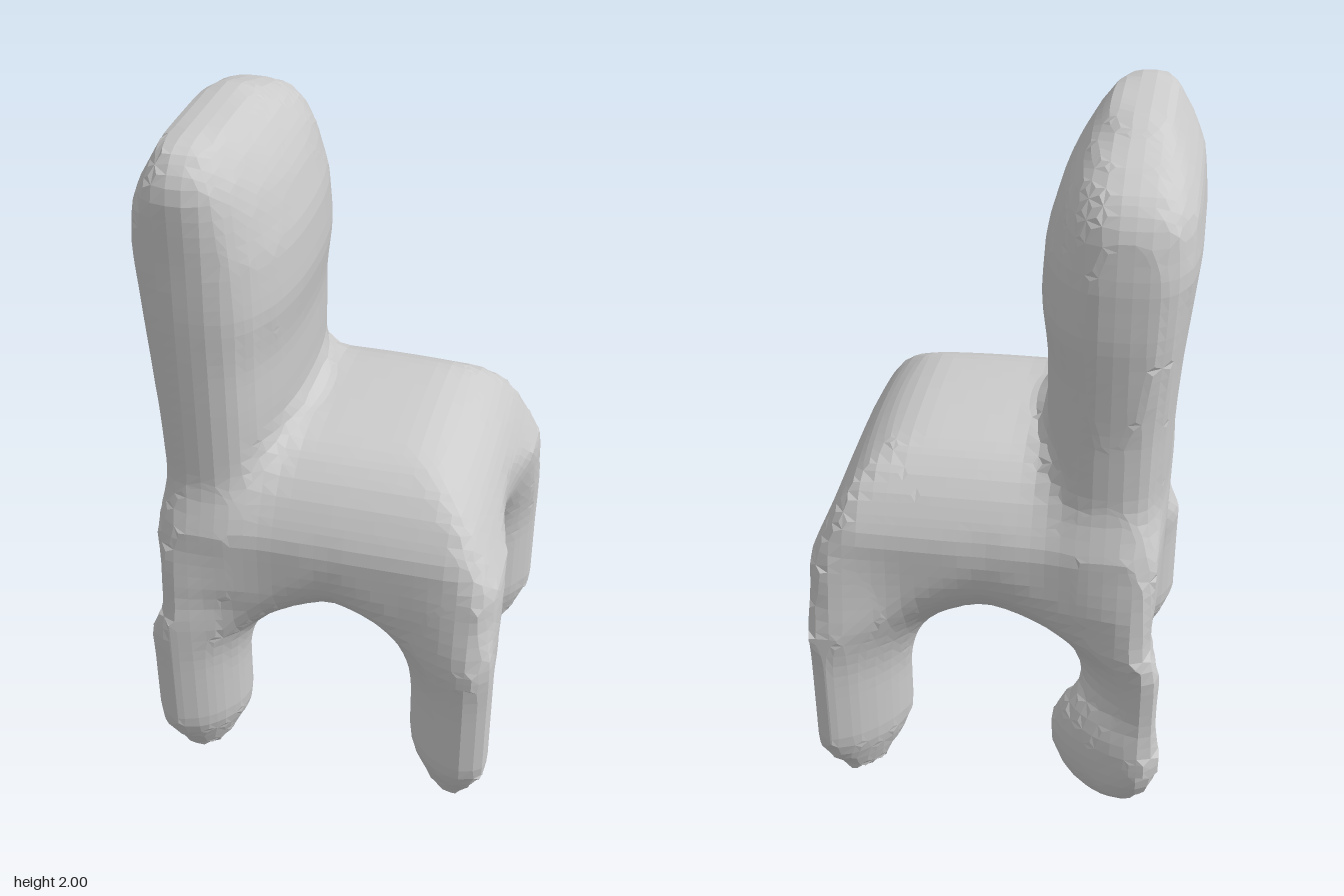
import * as THREE from 'three';

const { clamp, smoothstep, lerp } = THREE.MathUtils;

// Smooth union of two distances, with a fillet of size k
const blend = (a, b, k) => Math.min(a, b) - Math.max(k - Math.abs(a - b), 0) ** 2 / (4 * k);

// Distance to an ellipsoid; a radius of Infinity makes it a column
function ellipsoid(p, r) {
  const k0 = Math.hypot(...p.map((v, i) => v / r[i]));
  const k1 = Math.hypot(...p.map((v, i) => v / (r[i] * r[i])));
  return k0 * (k0 - 1) / Math.max(k1, 1e-6);
}

// Thick cushion: a slightly crowned square with well rounded upper and lower edges
function seat(x, y, z) {
  const corner = 0.08, edge = 0.25;
  const qx = Math.abs(x) - 0.458 + corner, qz = Math.abs(z) - 0.447 + corner;
  const plan = Math.hypot(Math.max(qx, 0), Math.max(qz, 0)) + Math.min(Math.max(qx, qz), 0) - corner;
  const crown = y > 0.87 ? 0.25 * z * z + 0.1 * x * x : 0;
  const wx = plan + edge, wy = Math.abs(y - 0.87) + crown - 0.27 + edge;
  return Math.hypot(Math.max(wx, 0), Math.max(wy, 0)) + Math.min(Math.max(wx, wy), 0) - edge;
}

// Backrest outline by height: y, x from, x to, z from, z to
const backRings = [
  [0.60, -0.445, -0.15, -0.42, 0.42],
  [1.00, -0.47, -0.13, -0.42, 0.42],
  [1.25, -0.48, -0.12, -0.42, 0.42],
  [1.40, -0.49, -0.12, -0.43, 0.42],
  [1.55, -0.505, -0.10, -0.44, 0.42],
  [1.70, -0.52, -0.11, -0.435, 0.415],
  [1.84, -0.505, -0.15, -0.415, 0.415],
  [1.91, -0.465, -0.19, -0.35, 0.415],
  [1.96, -0.435, -0.225, -0.23, 0.385],
  [1.985, -0.42, -0.25, -0.12, 0.355],
  [2.00, -0.38, -0.29, -0.04, 0.33],
];

// Tall backrest on the -x side: squarer behind, rounder in front, its top sloping towards -z
function backrest(x, y, z) {
  let j = 1;
  while (j < backRings.length - 1 && backRings[j][0] < y) j++;
  const lo = backRings[j - 1], hi = backRings[j];
  const t = clamp((y - lo[0]) / (hi[0] - lo[0]), 0, 1);
  const [, x0, x1, z0, z1] = lo.map((v, i) => lerp(v, hi[i], t));
  const rx = (x1 - x0) / 2, rz = (z1 - z0) / 2;
  const u = (x - (x0 + x1) / 2) / rx, v = Math.abs(z - (z0 + z1) / 2) / rz;
  const n = u > 0 ? 2.4 : 4;
  const side = (Math.pow(Math.abs(u) ** n + v ** n, 1 / n) - 1) * rx;
  return Math.max(side, y - 2, 0.72 - y);
}

// Legs by corner: signs of x and z, middle, radius along and across the diagonal
const legs = [
  { sx: 1, sz: 1, cx: 0.388, cz: 0.365, along: 0.155, across: 0.1 },
  { sx: 1, sz: -1, cx: 0.385, cz: 0.372, along: 0.168, across: 0.075 },
  { sx: -1, sz: 1, cx: 0.37, cz: 0.37, along: 0.155, across: 0.1 },
  { sx: -1, sz: -1, cx: 0.375, cz: 0.375, along: 0.15, across: 0.06 },
];

// Leg that is oblong along the diagonal, with a pointed foot and a top leaning into the seat
function leg(x, y, z, { sx, sz, cx, cz, along, across }) {
  const lean = 0.09 * smoothstep(y, 0.56, 0.8);
  const inset = sx < 0 ? 0.04 * smoothstep(y, 0.48, 0.64) : 0;
  const px = x * sx - cx + lean + inset, pz = z * sz - cz + lean;
  const u = (px + pz) * Math.SQRT1_2, v = (px - pz) * Math.SQRT1_2;
  const shaft = ellipsoid([u, v], [along, across]);
  const foot = (Math.hypot(u / along, v / across) - 0.4 - 3.8 * y) * 0.1;
  return Math.max(shaft, foot, -y, y - 0.72);
}

// Swollen foot of the one thinner leg
function bulb(x, y, z) {
  const c = Math.cos(0.54), s = Math.sin(0.54);
  const px = x + 0.335, pz = z + 0.375;
  return ellipsoid([px * c + pz * s, y - 0.19, pz * c - px * s], [0.184, 0.19, 0.098]);
}

// Outer faces of seat and legs, nearly flat between slightly projecting corners
function walls(x, y, z) {
  const low = clamp((0.86 - y) / 0.26, 0, 1);
  const zMax = 0.449 + 0.052 * smoothstep(Math.abs(x), 0.22, 0.43) * low;
  const xMax = 0.462 + 0.048 * smoothstep(Math.abs(z), 0.04, 0.28);
  const xMin = 0.505 - 0.05 * smoothstep(y, 0.48, 0.62);
  return Math.max(Math.abs(z) - zMax, x - xMax, -x - xMin);
}

function chairDistance(x, y, z) {
  // only the nearest leg matters in each quarter
  let limb = leg(x, y, z, legs[(x < 0 ? 2 : 0) + (z < 0 ? 1 : 0)]);
  if (x < 0 && z < 0) limb = blend(limb, bulb(x, y, z), 0.04);
  const base = Math.max(blend(seat(x, y, z), limb, 0.28), walls(x, y, z));
  return blend(base, backrest(x, y, z), 0.06);
}

// Surface where the distance is zero: one vertex per crossed cell, one quad per crossed edge
function skin(distance, origin, size, cell) {
  const [nx, ny, nz] = size;
  const id = (i, j, k) => (i * ny + j) * nz + k;
  const at = (i, j, k) => [origin[0] + i * cell, origin[1] + j * cell, origin[2] + k * cell];
  const steps = [id(1, 0, 0), id(0, 1, 0), id(0, 0, 1)];
  const d = new Float32Array(nx * ny * nz);
  const each = (from, trim, fn) => {
    for (let i = from; i < nx - trim; i++)
      for (let j = from; j < ny - trim; j++)
        for (let k = from; k < nz - trim; k++) fn(i, j, k);
  };
  each(0, 0, (i, j, k) => { d[id(i, j, k)] = distance(...at(i, j, k)); });

  const pos = [], index = [], vertex = new Map();
  each(0, 1, (i, j, k) => {
    const sum = [0, 0, 0];
    let count = 0;
    for (let c = 0; c < 8; c++) {
      const o = [c & 1, (c >> 1) & 1, c >> 2];
      const p = id(i + o[0], j + o[1], k + o[2]);
      for (let axis = 0; axis < 3; axis++) {
        if (o[axis]) continue;
        const a = d[p], b = d[p + steps[axis]];
        if (a < 0 === b < 0) continue;
        for (let n = 0; n < 3; n++) sum[n] += o[n] + (n === axis ? a / (a - b) : 0);
        count++;
      }
    }
    if (!count) return;
    vertex.set(id(i, j, k), pos.length / 3);
    pos.push(...at(i + sum[0] / count, j + sum[1] / count, k + sum[2] / count));
  });
  each(1, 1, (i, j, k) => {
    const p = id(i, j, k);
    for (let axis = 0; axis < 3; axis++) {
      const inside = d[p] < 0;
      if (inside === d[p + steps[axis]] < 0) continue;
      const b = steps[(axis + 1) % 3], c = steps[(axis + 2) % 3];
      const q = [p, p - b, p - b - c, p - c].map(n => vertex.get(n));
      if (!inside) q.reverse();
      index.push(q[0], q[1], q[2], q[0], q[2], q[3]);
    }
  });
  const geometry = new THREE.BufferGeometry();
  geometry.setAttribute('position', new THREE.Float32BufferAttribute(pos, 3));
  geometry.setIndex(index);
  geometry.computeVertexNormals();
  return geometry;
}

export function createModel() {
  const chair = new THREE.Group();
  chair.name = 'chair';
  // Seat, backrest and legs flow together as one moulded body
  const body = new THREE.Mesh(
    skin(chairDistance, [-0.62, -0.06, -0.62], [32, 54, 32], 0.04),
    new THREE.MeshStandardMaterial({ color: 0xcccccc, flatShading: true }));
  body.name = 'seatBackrestAndLegs';
  chair.add(body);
  return chair;
}
